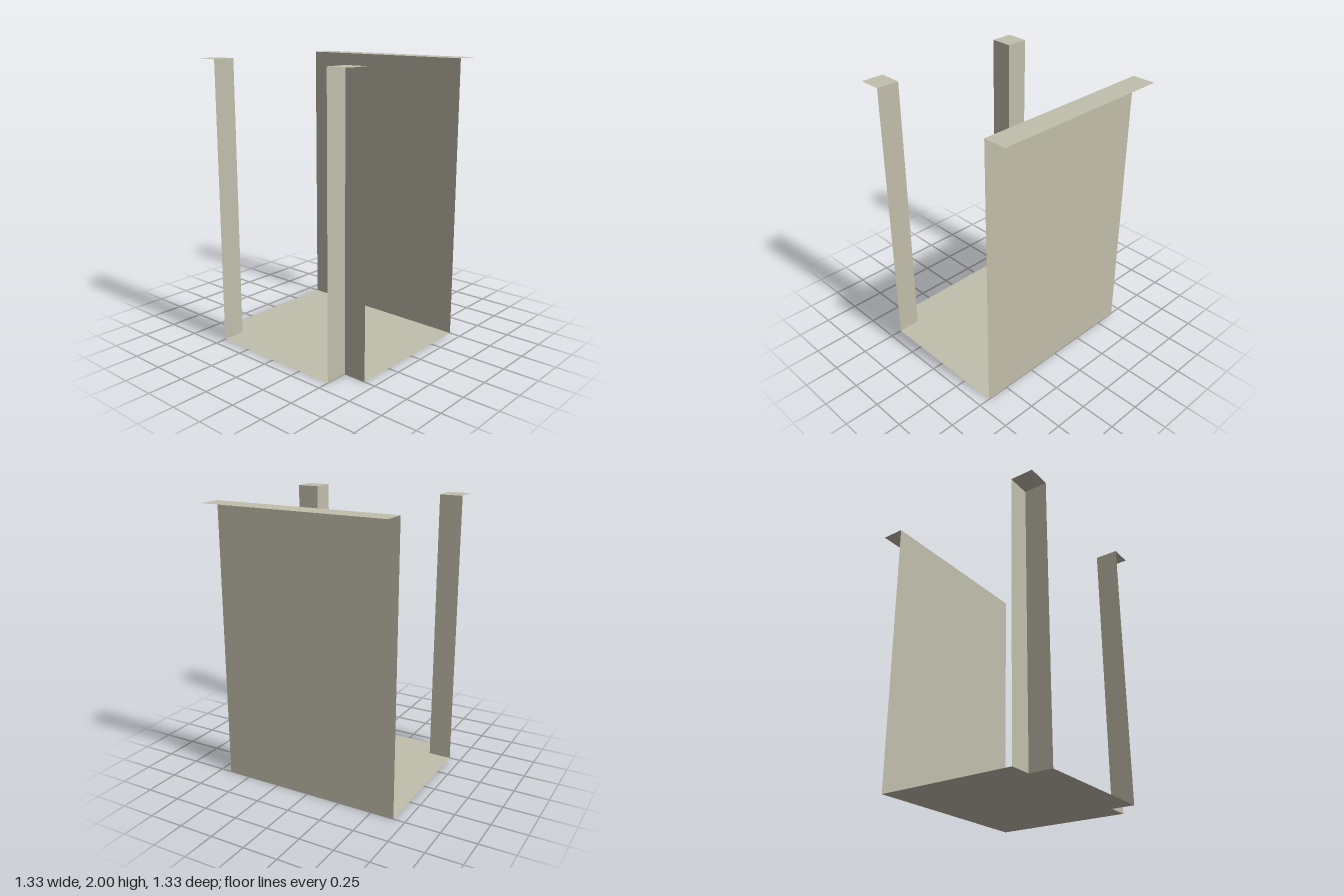
import * as THREE from 'three';

export function createModel() {
  const model = new THREE.Group();
  model.name = 'openShell';
  const stone = new THREE.MeshStandardMaterial({ color: 0xc1beab, side: THREE.DoubleSide });
  stone.name = 'paleStone';

  const H = 2, OUT = 2 / 3, IN = 0.5;
  const T = OUT - IN, MID = (OUT + IN) / 2;

  function add(name, geometry, x, y, z) {
    const mesh = new THREE.Mesh(geometry, stone);
    mesh.name = name;
    mesh.position.set(x, y, z);
    model.add(mesh);
  }
  const flat = (w, d) => new THREE.PlaneGeometry(w, d).rotateX(-Math.PI / 2);

  // Floor with its two front corners notched out (shape y becomes -z)
  const outline = [
    [-OUT, IN], [-OUT, -IN], [-IN, -IN], [-IN, -OUT],
    [IN, -OUT], [IN, -IN], [OUT, -IN], [OUT, IN],
  ].map(([x, y]) => new THREE.Vector2(x, y));
  add('floor', new THREE.ShapeGeometry(new THREE.Shape(outline)).rotateX(-Math.PI / 2), 0, 0, 0);

  // Back wall and the ledge running behind its top
  add('backWall', new THREE.PlaneGeometry(2 * OUT, H), 0, H / 2, -IN);
  add('backLedge', flat(2 * OUT, T), 0, H, -MID);

  // Front corner posts: two thin faces and a cap each
  for (const [side, s] of [['left', 1], ['right', -1]]) {
    add(side + 'PostFace', new THREE.PlaneGeometry(T, H), s * MID, H / 2, IN);
    add(side + 'PostSide', new THREE.PlaneGeometry(T, H).rotateY(s * Math.PI / 2), s * IN, H / 2, MID);
    add(side + 'PostCap', flat(T, T), s * MID, H, MID);
  }
  return model;
}
